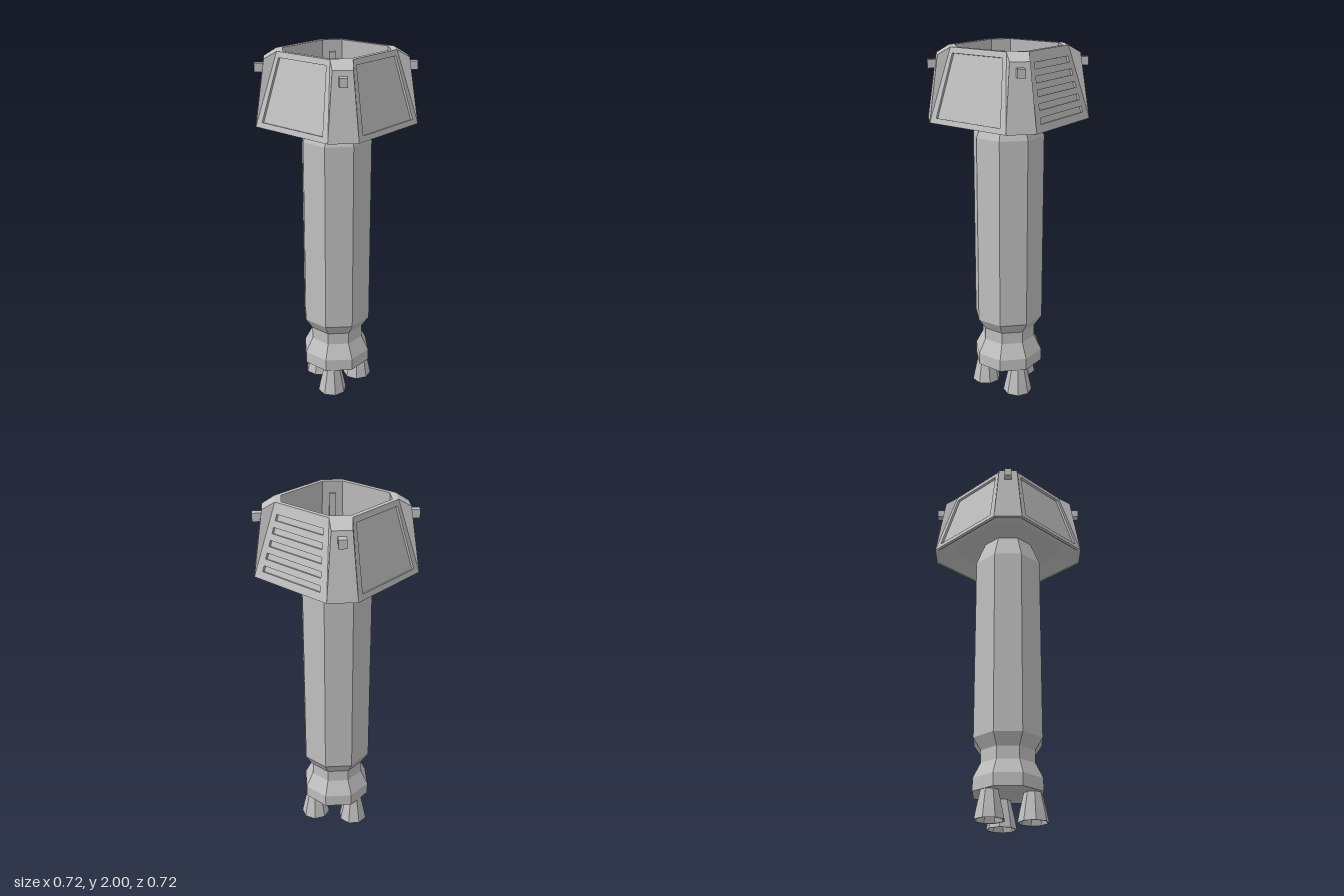
import * as THREE from 'three';

const grey = new THREE.MeshStandardMaterial({ color: 0xc0c0c0, flatShading: true, side: THREE.DoubleSide });
grey.name = 'hull grey';

function mesh(name, geometry) {
  const m = new THREE.Mesh(geometry, grey);
  m.name = name;
  return m;
}

// Geometry from a list of flat polygons (3 or 4 corners each)
function faces(list) {
  const pos = [];
  for (const f of list) {
    for (let i = 1; i < f.length - 1; i++) pos.push(...f[0], ...f[i], ...f[i + 1]);
  }
  const g = new THREE.BufferGeometry();
  g.setAttribute('position', new THREE.Float32BufferAttribute(pos, 3));
  g.computeVertexNormals();
  return g;
}

// Chamfered square: half width h, half straight side c, height y
const ring = ([h, c, y]) =>
  [[h, -c], [h, c], [c, h], [-c, h], [-h, c], [-h, -c], [-c, -h], [c, -h]].map(([x, z]) => [x, y, z]);

function loft(sections) {
  const rings = sections.map(ring), list = [];
  for (let r = 0; r < rings.length - 1; r++) {
    const a = rings[r], b = rings[r + 1];
    for (let i = 0; i < 8; i++) {
      const j = (i + 1) % 8;
      list.push([a[j], a[i], b[i], b[j]]);
    }
  }
  return faces(list);
}

// Eight-sided turned part; radii are measured to the flat sides
function octagonLathe(profile) {
  const k = 1 / Math.cos(Math.PI / 8);
  return new THREE.LatheGeometry(profile.map(([r, y]) => new THREE.Vector2(r * k, y)), 8, Math.PI / 8);
}

// Upright trapezoid between heights s0 and s1
const trapezoid = (s0, w0, s1, w1) =>
  [[-w0, s0], [w0, s0], [w1, s1], [-w1, s1]].map(([x, y]) => new THREE.Vector2(x, y));

const SLANT = Math.hypot(0.39, 0.1), TILT = Math.atan2(0.1, 0.39), DEPTH = 0.014;

// Leaning head wall with a recessed panel, or a row of vent slots
function headWall(vented) {
  const wall = new THREE.Group();
  const shape = new THREE.Shape(trapezoid(0, 0.25, SLANT, 0.18));
  const width = s => 0.214 - 0.14 * s;
  if (vented) {
    for (let i = 0; i < 5; i++) {
      const s = 0.042 + i * 0.068;
      shape.holes.push(new THREE.Path(trapezoid(s, width(s) - 0.01, s + 0.032, width(s + 0.032) - 0.01)));
    }
  } else {
    shape.holes.push(new THREE.Path(trapezoid(0.03, width(0.03), 0.372, width(0.372))));
  }
  const frame = new THREE.ExtrudeGeometry(shape, { depth: DEPTH, bevelEnabled: false });
  frame.translate(0, 0, -DEPTH);
  const back = new THREE.ShapeGeometry(new THREE.Shape(trapezoid(0.02, 0.23, 0.385, 0.175)));
  back.translate(0, 0, -DEPTH + 0.001);
  wall.add(mesh(vented ? 'ventFrame' : 'panelFrame', frame), mesh('recessedPanel', back));
  wall.position.set(0, 1.61, 0.36);
  wall.rotation.x = -TILT;
  return wall;
}

// Raised corner post with a bevelled shoulder
function cornerPost() {
  const A = [0.36, 1.61, 0.25], B = [0.305, 1.96, 0.232], C = [0.26, 2, 0.18];
  const [A2, B2, C2] = [A, B, C].map(([x, y, z]) => [z, y, x]);
  return faces([[A2, A, B, B2], [B2, B, C, C2], [A, C, B], [A2, B2, C2]]);
}

export function createModel() {
  const model = new THREE.Group();
  model.name = 'tower';

  // Column with waist at the base and a pointed cap inside the head
  model.add(mesh('column', octagonLathe([
    [0, 0.155], [0.185, 0.155], [0.185, 0.225], [0.145, 0.31], [0.145, 0.38],
    [0.185, 0.445], [0.185, 1.52], [0.135, 1.66], [0.09, 1.77], [0.012, 1.89], [0, 1.89],
  ])));

  // Three hollow nozzles under the column
  for (let i = 0; i < 3; i++) {
    const pivot = new THREE.Group();
    pivot.name = 'nozzle' + (i + 1);
    const bell = mesh('nozzleBell', octagonLathe([
      [0, 0.1], [0.04, 0.09], [0.07, 0], [0.077, 0], [0.066, 0.06], [0.045, 0.16],
    ]));
    bell.position.x = -0.135;
    pivot.add(bell);
    pivot.rotation.y = i * Math.PI * 2 / 3;
    model.add(pivot);
  }

  // Head: underside, open well and floor
  const head = new THREE.Group();
  head.name = 'head';
  head.add(mesh('underside', loft([[0.1, 0.05, 1.66], [0.26, 0.165, 1.66], [0.345, 0.24, 1.61], [0.36, 0.25, 1.61]])));
  head.add(mesh('well', loft([[0.26, 0.18, 2], [0.235, 0.16, 2], [0.26, 0.175, 1.68], [0.1, 0.05, 1.68]])));

  // Four walls and four corners
  for (let i = 0; i < 4; i++) {
    const side = new THREE.Group();
    side.name = 'side' + (i + 1);
    side.rotation.y = i * Math.PI / 2;
    side.add(headWall(i === 2), mesh('cornerPost', cornerPost()));

    const corner = new THREE.Group();
    corner.name = 'cornerFittings';
    corner.rotation.y = Math.PI / 4;
    const peg = mesh('peg', new THREE.BoxGeometry(0.042, 0.045, 0.07));
    peg.position.set(0, 1.91, 0.396);
    const rib = mesh('innerRib', new THREE.BoxGeometry(0.035, 0.19, 0.02));
    rib.position.set(0, 1.84, 0.287);
    rib.rotation.x = -0.08;
    corner.add(peg, rib);
    side.add(corner);
    head.add(side);
  }
  model.add(head);
  return model;
}
